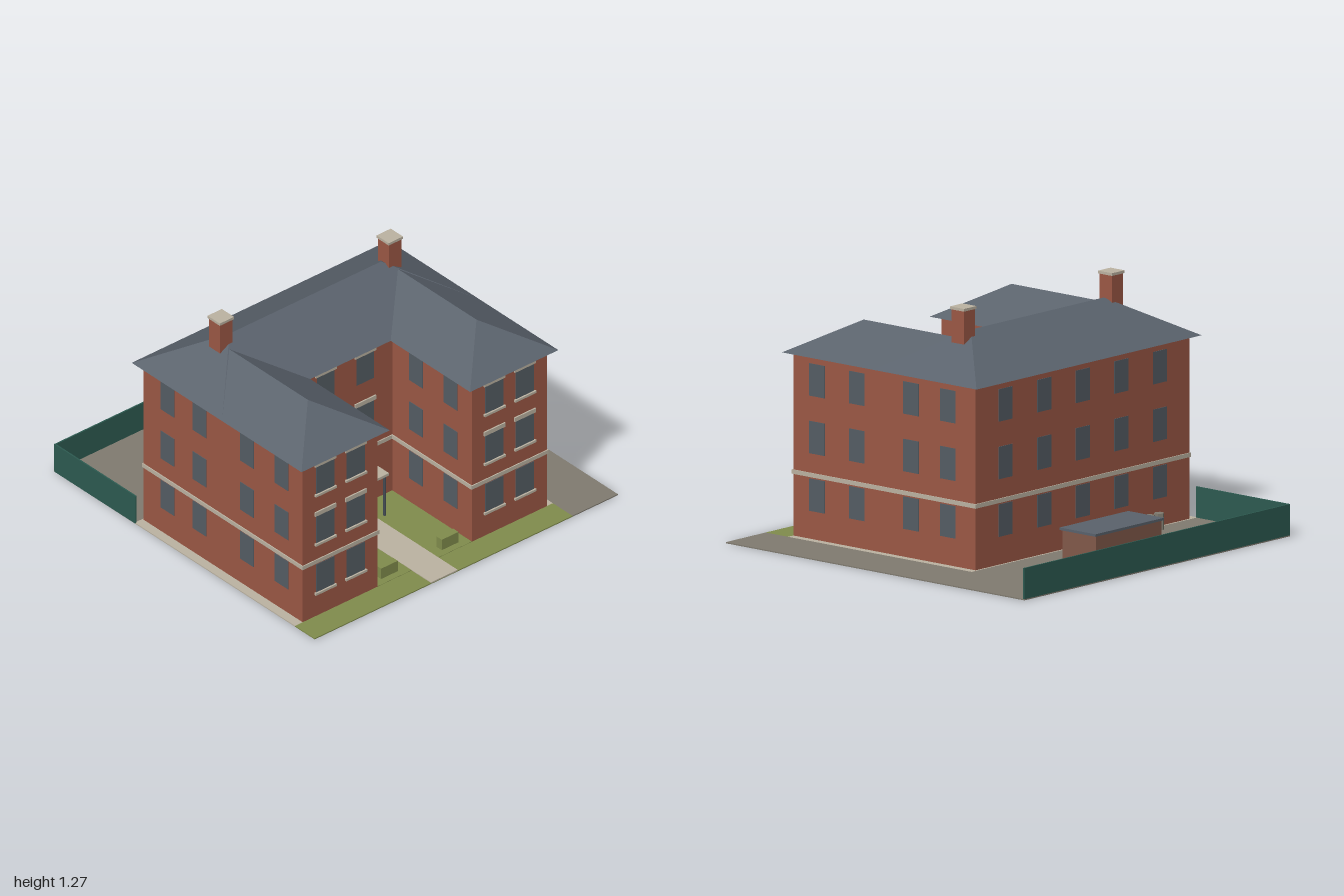
import * as THREE from 'three';

const mat = (name, color) => Object.assign(new THREE.MeshStandardMaterial({ color }), { name });

export function createModel() {
  const model = new THREE.Group();
  model.name = 'brickHouse';
  const brick = mat('brick', 0x9c5845), slate = mat('slate', 0x5a626c), stone = mat('stone', 0xbcb3a2),
    glass = mat('windowGlass', 0x555d64), green = mat('greenPaint', 0x2d5b51), lawn = mat('lawn', 0x808c4c),
    paving = mat('paving', 0x807b70), shedBrick = mat('shedBrick', 0x82594a), iron = mat('iron', 0x454d55);

  const add = (name, geo, material, parent = model) => {
    const m = new THREE.Mesh(geo, material);
    m.name = name;
    parent.add(m);
    return m;
  };
  // Box given by its limits on each axis
  const box = (name, material, x0, x1, y0, y1, z0, z1, parent) => {
    const m = add(name, new THREE.BoxGeometry(x1 - x0, y1 - y0, z1 - z0), material, parent);
    m.position.set((x0 + x1) / 2, (y0 + y1) / 2, (z0 + z1) / 2);
    return m;
  };
  // Closed hip roof; the ridge runs from point a to point b, each [x, z]
  const hipRoof = (name, x0, x1, z0, z1, y, top, a, b) => {
    const p = [[x0, y, z0], [x1, y, z0], [x1, y, z1], [x0, y, z1], [a[0], top, a[1]], [b[0], top, b[1]]];
    const alongX = a[1] === b[1];
    const faces = alongX
      ? [[3, 2, 5], [3, 5, 4], [1, 0, 4], [1, 4, 5], [0, 3, 4], [2, 1, 5]]
      : [[0, 3, 5], [0, 5, 4], [2, 1, 4], [2, 4, 5], [1, 0, 4], [3, 2, 5]];
    faces.push([0, 1, 2], [0, 2, 3]);
    const geo = new THREE.BufferGeometry();
    geo.setAttribute('position', new THREE.Float32BufferAttribute(faces.flat().flatMap(i => p[i]), 3));
    geo.computeVertexNormals();
    add(name, geo, slate);
  };

  const CX = -0.145;                 // symmetry line of the house
  const X0 = -0.95, X1 = 0.66, BACK = -0.37, MID = 0.24, FRONT = 0.85;
  const IN0 = -0.455, IN1 = 0.165;   // inner walls of the wings
  const EAVE = 0.945;

  // Ground
  box('backYard', paving, -1, 1, 0, 0.006, -1, -0.38);
  box('sideYard', paving, 0.7, 1, 0, 0.006, -0.38, 1);
  box('houseApron', stone, -1, 0.7, 0, 0.006, -0.38, FRONT);
  box('frontLawn', lawn, -1, 0.7, 0, 0.006, FRONT, 1);
  box('courtLawn', lawn, IN0, IN1, 0.003, 0.008, MID, FRONT);
  box('path', stone, -0.232, -0.057, 0.003, 0.01, MID, 1);

  // Walls with string course
  const blocks = [['mainBlock', X0, X1, BACK, MID], ['rightWing', X0, IN0, MID, FRONT], ['leftWing', IN1, X1, MID, FRONT]];
  for (const [name, x0, x1, z0, z1] of blocks) {
    box(name + 'Walls', brick, x0, x1, 0.004, EAVE, z0, z1);
    box(name + 'StringCourse', stone, x0 - 0.006, x1 + 0.006, 0.323, 0.345, z0 - 0.006, z1 + 0.006);
  }

  // Roofs
  hipRoof('mainRoof', -0.992, 0.702, -0.414, 0.28, EAVE, 1.145, [-0.645, -0.067], [0.355, -0.067]);
  hipRoof('rightWingRoof', -0.992, -0.41, -0.29, 0.89, EAVE, 1.108, [-0.701, 0], [-0.701, 0.6]);
  hipRoof('leftWingRoof', 0.12, 0.702, -0.29, 0.89, EAVE, 1.108, [0.411, 0], [0.411, 0.6]);

  // Chimneys
  for (const x of [-0.702, 0.412]) {
    box('chimney', brick, x - 0.042, x + 0.042, 1.09, 1.262, -0.109, -0.025);
    box('chimneyCap', stone, x - 0.047, x + 0.047, 1.26, 1.274, -0.114, -0.02);
  }

  // Windows: thin plates turned to face outwards
  const rows = [0.232, 0.527, 0.822];
  const windowAt = (x, y, z, turn, { width = 0.103, lintel = false, sill = false } = {}) => {
    const g = new THREE.Group();
    g.name = 'window';
    g.position.set(x, y, z);
    g.rotation.y = turn;
    box('pane', glass, -width / 2, width / 2, -0.083, 0.083, -0.003, 0.003, g);
    if (lintel) box('lintel', stone, -0.069, 0.069, 0.081, 0.105, -0.004, 0.008, g);
    if (sill) box('sill', stone, -0.069, 0.069, -0.096, -0.083, -0.004, 0.012, g);
    model.add(g);
  };
  rows.forEach((y, floor) => {
    const lintel = floor > 0;
    for (const x of [-0.803, -0.602, 0.312, 0.513]) windowAt(x, y, FRONT, 0, { width: 0.12, lintel, sill: true });
    for (const x of [-0.275, -0.015])
      if (floor > 0 || x < CX) windowAt(x, y, MID, 0, { width: 0.115, lintel });
    for (let i = -2; i <= 2; i++) windowAt(CX + i * 0.29, y, BACK, Math.PI);
    for (const z of [0.69, 0.424, 0.06, -0.186]) {
      windowAt(X1, y, z, Math.PI / 2);
      windowAt(X0, y, z, -Math.PI / 2);
    }
    for (const z of [0.69, 0.424]) {
      windowAt(IN0, y, z, Math.PI / 2);
      windowAt(IN1, y, z, -Math.PI / 2);
    }
  });

  // Entrance
  box('door', green, CX - 0.065, CX + 0.065, 0.01, 0.235, MID - 0.002, MID + 0.007);
  box('porchCanopy', stone, -0.292, 0.002, 0.25, 0.265, MID, 0.405);
  for (const s of [-1, 1]) {
    const post = add('porchPost', new THREE.CylinderGeometry(0.008, 0.008, 0.246, 8), iron);
    post.position.set(CX + s * 0.135, 0.127, 0.385);
    box('hedge', lawn, CX + s * 0.2 - 0.055, CX + s * 0.2 + 0.055, 0.006, 0.07, 0.77, 0.812);
  }

  // Yard fence, shed and bins
  box('backFence', green, -1, 1, 0, 0.165, -1, -0.992);
  box('sideFence', green, -1, -0.992, 0, 0.165, -0.992, -0.375);
  box('shedWalls', shedBrick, -0.05, 0.446, 0.004, 0.236, -0.985, -0.762);
  box('shedRoof', slate, -0.06, 0.456, 0.235, 0.248, -0.992, -0.752);
  for (let i = 0; i < 4; i++) {
    const bin = add('bin', new THREE.CylinderGeometry(0.027, 0.027, 0.086, 6).toNonIndexed(), paving);
    bin.geometry.computeVertexNormals();
    bin.position.set(-0.665 + i * 0.071, 0.047, -0.42);
  }
  return model;
}
